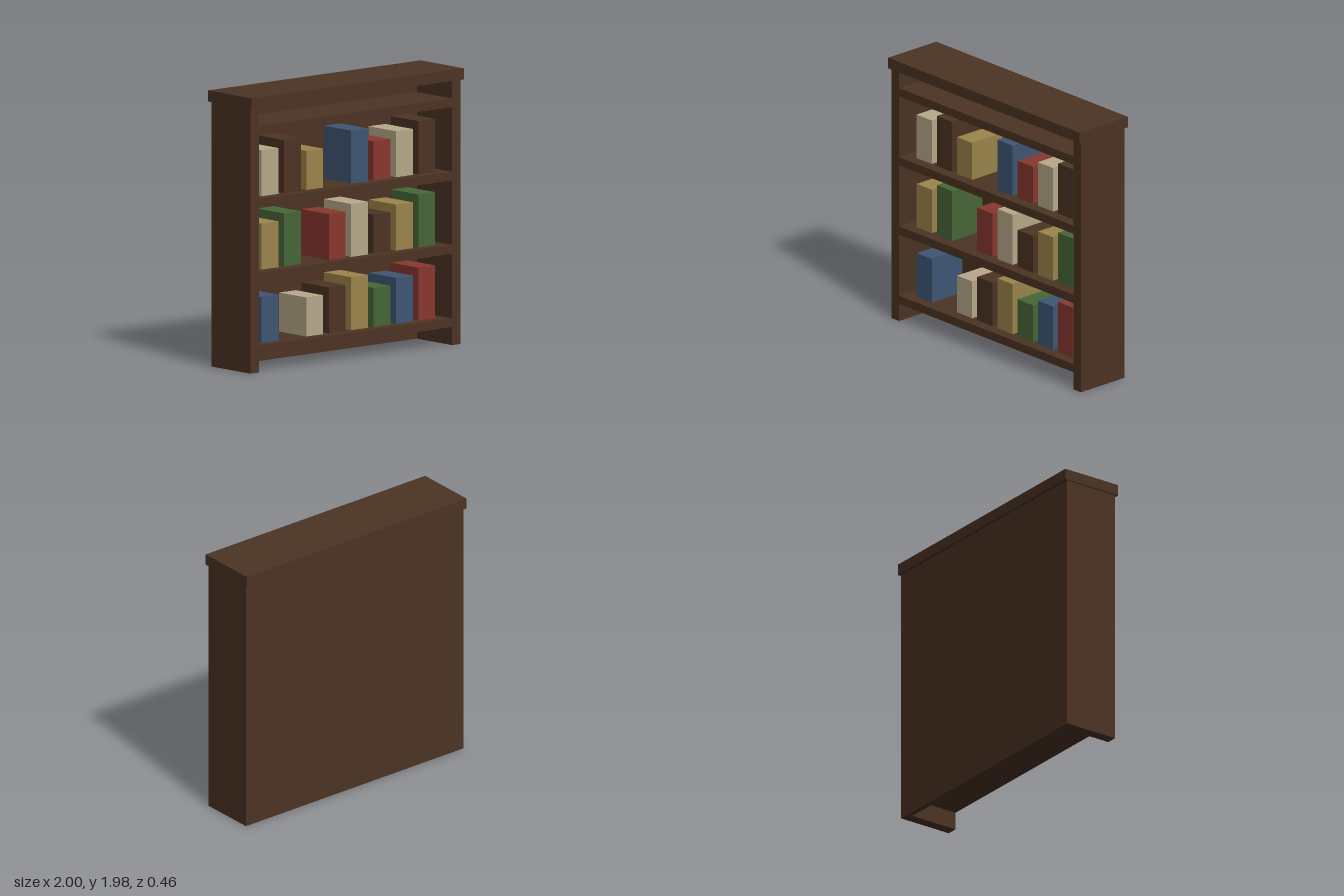
import * as THREE from 'three';

const flat = (name, color) => {
  const m = new THREE.MeshStandardMaterial({ color });
  m.name = name;
  return m;
};

export function createModel() {
  const wood = flat('dark wood', 0x4c3424);
  const covers = {
    cream: flat('cream', 0xb7a98b),
    gold: flat('gold', 0x9c854b),
    green: flat('green', 0x476737),
    blue: flat('blue', 0x3f5675),
    red: flat('red', 0x893730),
    brown: wood,
  };
  const group = new THREE.Group();
  group.name = 'bookcase';

  // Box given by its centre in x and z and its bottom in y
  const box = (name, material, w, h, d, x, y, z) => {
    const mesh = new THREE.Mesh(new THREE.BoxGeometry(w, h, d), material);
    mesh.name = name;
    mesh.position.set(x, y + h / 2, z);
    group.add(mesh);
  };

  // Carcass
  for (const s of [-1, 1]) {
    box(s > 0 ? 'leftSide' : 'rightSide', wood, 0.08, 1.9, 0.42, s * 0.95, 0, 0);
  }
  box('backPanel', wood, 1.82, 1.9, 0.04, 0, 0, -0.19);
  box('topBoard', wood, 2, 0.08, 0.464, 0, 1.9, 0);

  // Shelves
  const shelfY = [0.13, 0.656, 1.182, 1.708];
  for (const y of shelfY) box('shelf', wood, 1.82, 0.062, 0.38, 0, y, 0.02);

  // Books, left to right as seen from the front: colour and height, null is a gap
  const S = 0.28, M = 0.33, L = 0.38;
  const rows = [
    [['blue', M], null, ['cream', S], ['brown', M], ['gold', L], ['green', S], ['blue', M], ['red', L]],
    [['gold', M], ['green', L], null, ['red', M], ['cream', L], ['brown', S], ['gold', M], ['green', L]],
    [['cream', M], ['brown', L], ['gold', S], null, ['blue', L], ['red', S], ['cream', M], ['brown', L]],
  ];
  rows.forEach((row, r) => row.forEach((book, i) => {
    if (!book) return;
    const [color, height] = book;
    box(`${color}Book`, covers[color], 0.158, height, 0.295, -0.735 + i * 0.211, shelfY[r] + 0.062, -0.018);
  }));

  return group;
}
